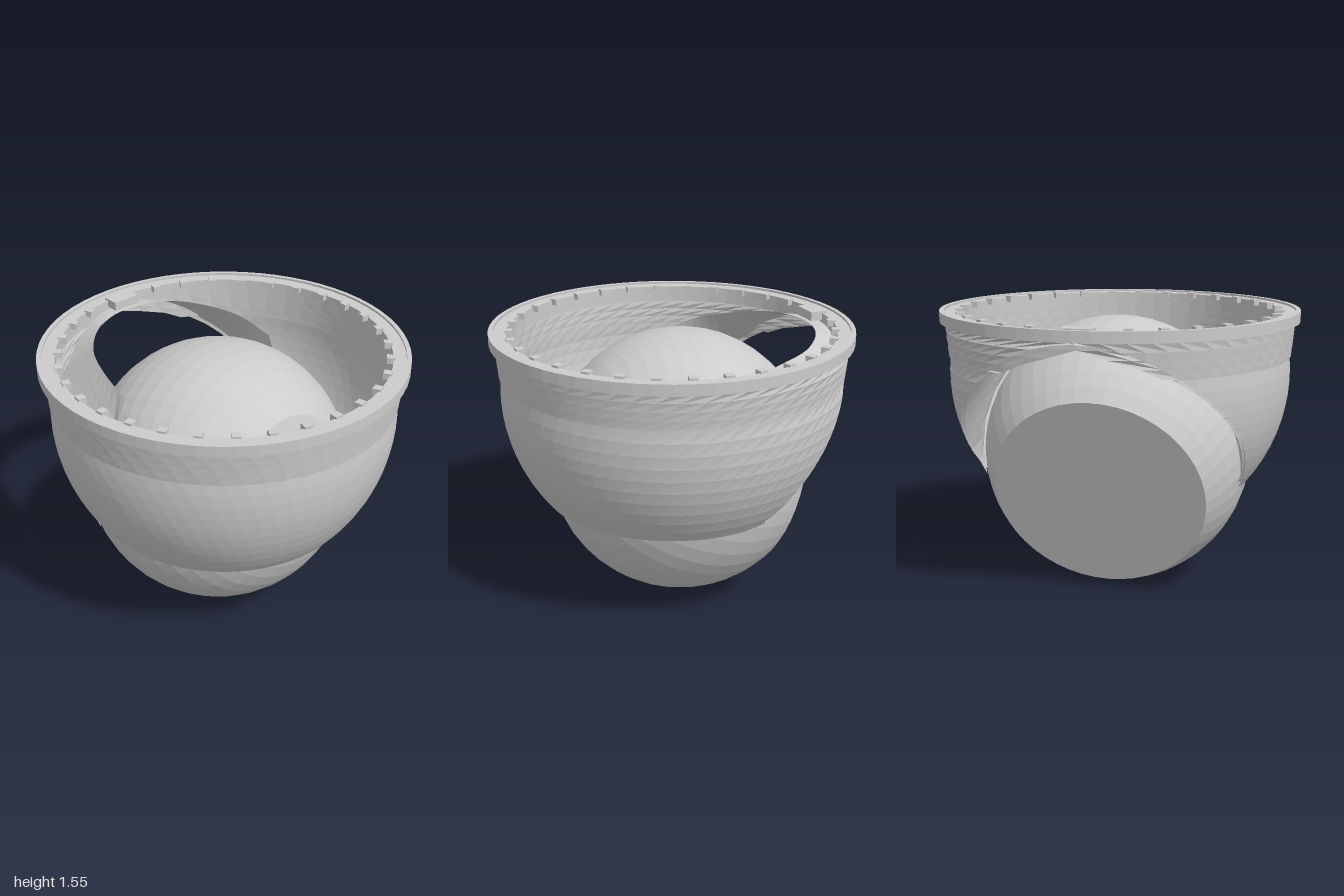
import * as THREE from 'three';

const solid = () => new THREE.MeshStandardMaterial({ color: 0xcccccc, flatShading: true });
const thin = () => new THREE.MeshStandardMaterial({ color: 0xcccccc, flatShading: true, side: THREE.DoubleSide });

const BALL_R = 0.753;
const BALL_CENTRE = new THREE.Vector3(0, 0.755, -0.05);

// Shell rules: radius at a height, and the slanted rear cut
const domeRadius = (y, r) => Math.sqrt(r * r - (y - 1.2) ** 2);
const outerRadius = y => (y < 1.3 ? domeRadius(y, 0.953) : 0.955 + (y - 1.3) * 0.1);
const cutZ = y => -0.216 - (y - 0.6) * 0.862;

// Sheet through a rows x columns grid of points
function sheet(name, rows, cols, pointAt) {
  const pos = [], idx = [];
  for (let i = 0; i <= rows; i++)
    for (let j = 0; j <= cols; j++) pos.push(...pointAt(i, j));
  for (let i = 0; i < rows; i++)
    for (let j = 0; j < cols; j++) {
      const a = i * (cols + 1) + j, b = a + cols + 1;
      idx.push(a, a + 1, b + 1, a, b + 1, b);
    }
  const g = new THREE.BufferGeometry();
  g.setAttribute('position', new THREE.Float32BufferAttribute(pos, 3));
  g.setIndex(idx);
  g.computeVertexNormals();
  const m = new THREE.Mesh(g, thin());
  m.name = name;
  return m;
}

function lathe(name, points, segments) {
  const g = new THREE.LatheGeometry(points.map(p => new THREE.Vector2(...p)), segments);
  const m = new THREE.Mesh(g, solid());
  m.name = name;
  return m;
}

// Ball with a small flat at the front and a large flat at the back
function makeBall() {
  const from = Math.PI - Math.acos(0.476 / BALL_R), to = Math.asin(0.34 / BALL_R), n = 14;
  const profile = [];
  for (let i = 0; i <= n; i++) {
    const a = from + (to - from) * (i / n);
    profile.push([BALL_R * Math.sin(a), BALL_R * Math.cos(a)]);
  }
  profile.unshift([0, profile[0][1]]);
  profile.push([0, profile[n + 1][1]]);
  const ball = lathe('ball', profile, 48);
  ball.position.copy(BALL_CENTRE);
  ball.rotation.x = THREE.MathUtils.degToRad(70);
  return ball;
}

// Double-walled bowl with collar, open where the rear cut removes it
function makeShell() {
  const profile = [];
  const n = 10;
  for (let i = 0; i <= n; i++) {
    const y = 0.6 + 0.699 * (i / n);
    profile.push([outerRadius(y), y]);
  }
  for (let i = 0; i <= 4; i++) {
    const y = 1.3 + 0.19 * (i / 4);
    profile.push([outerRadius(y), y]);
  }
  for (let i = 4; i >= 0; i--) profile.push([0.915, 1.3 + 0.19 * (i / 4)]);
  for (let i = n; i >= 0; i--) {
    const y = 0.6 + 0.699 * (i / n);
    profile.push([domeRadius(y, 0.94), y]);
  }
  profile.push(profile[0]);
  const cols = 48;
  return sheet('shell', profile.length - 1, cols, (i, j) => {
    const [r, y] = profile[i];
    const limit = Math.acos(Math.max(-1, cutZ(y) / r));
    const a = limit * (2 * j / cols - 1);
    return [r * Math.sin(a), y, r * Math.cos(a)];
  });
}

// Arched lip lining the rear opening, from the cut edge up over the ball
function makeArch() {
  const inner = new THREE.CatmullRomCurve3([
    [-0.54, 1.36, -0.19], [-0.51, 1.42, -0.4], [-0.42, 1.45, -0.61], [-0.24, 1.48, -0.77],
    [0, 1.485, -0.83],
    [0.24, 1.48, -0.77], [0.42, 1.45, -0.61], [0.51, 1.42, -0.4], [0.54, 1.36, -0.19],
  ].map(p => new THREE.Vector3(...p)));
  const cols = 40, rows = 5;
  return sheet('rearArch', rows, cols, (i, j) => {
    const t = 2 * j / cols - 1;
    const y = 0.6 + 0.888 * (1 - t * t);
    const r = outerRadius(y), z = Math.max(cutZ(y), -r);
    const p = new THREE.Vector3(Math.sign(t) * Math.sqrt(Math.max(0, r * r - z * z)), y, z);
    p.lerp(inner.getPoint(j / cols), i / rows).sub(BALL_CENTRE);
    if (p.length() < 0.77) p.setLength(0.77); // keep clear of the ball
    return p.add(BALL_CENTRE).toArray();
  });
}

export function createModel() {
  const model = new THREE.Group();
  model.name = 'ballMount';
  model.add(makeBall(), makeShell(), makeArch());

  // Top ring with a raised outer edge
  model.add(lathe('topRing', [
    [0.905, 1.49], [1, 1.49], [1, 1.55], [0.975, 1.55], [0.975, 1.538], [0.905, 1.538], [0.905, 1.49],
  ], 64));

  // Bolt heads around the ring, leaving a gap for the rear block
  const bolts = new THREE.Group();
  bolts.name = 'bolts';
  const boltGeometry = new THREE.BoxGeometry(0.045, 0.035, 0.045);
  const count = 30;
  for (let i = 0; i < count; i++) {
    const a = THREE.MathUtils.degToRad(-164 + 328 * i / (count - 1));
    const bolt = new THREE.Mesh(boltGeometry, solid());
    bolt.name = 'bolt';
    bolt.position.set(0.892 * Math.sin(a), 1.532, 0.892 * Math.cos(a));
    bolt.rotation.y = a;
    bolts.add(bolt);
  }
  model.add(bolts);

  // Block at the crown of the arch
  const block = new THREE.Mesh(new THREE.BoxGeometry(0.165, 0.05, 0.1), solid());
  block.name = 'rearBlock';
  block.position.set(0, 1.525, -0.88);
  model.add(block);

  return model;
}
